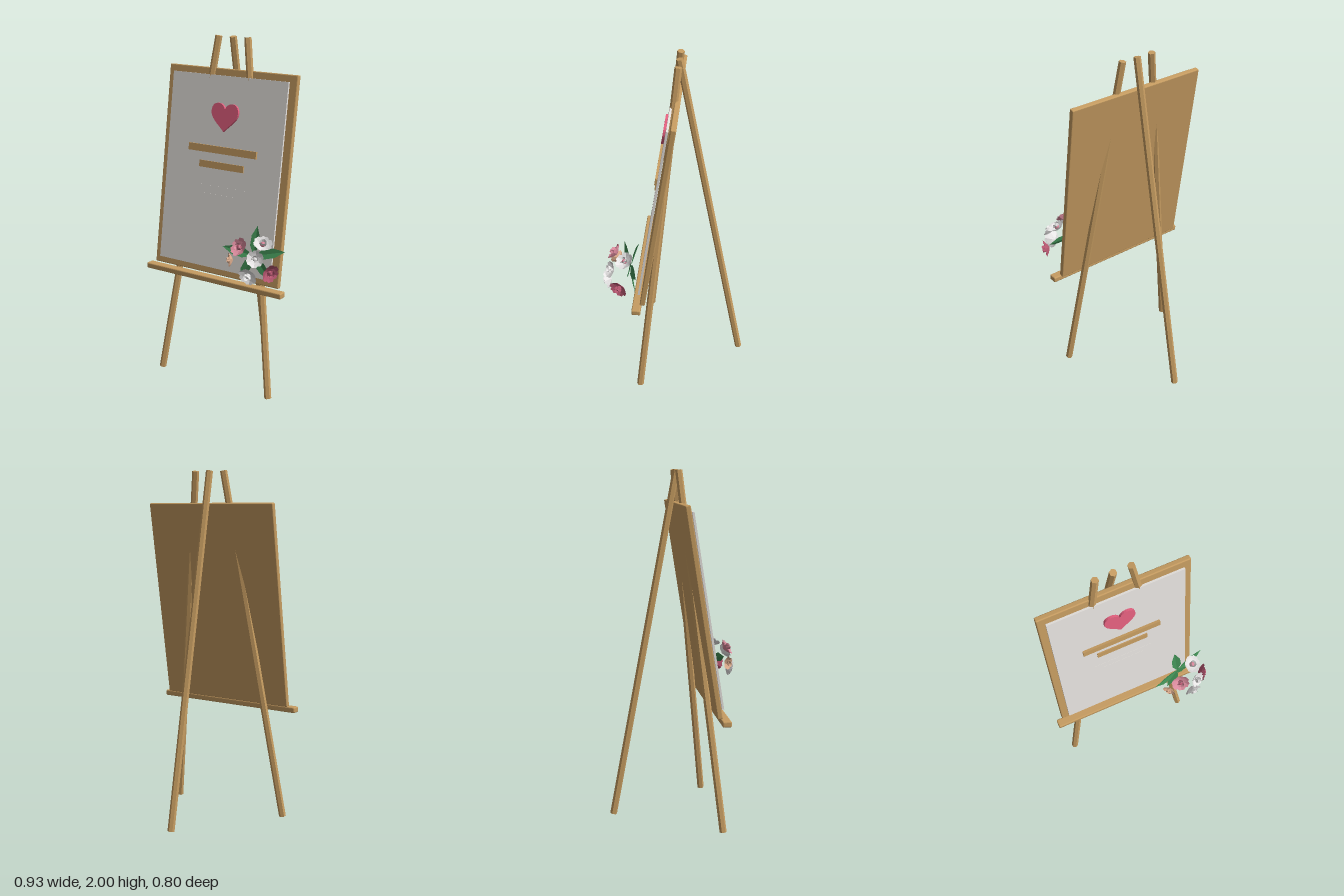
import * as THREE from 'three';
import { RoundedBoxGeometry } from 'three/addons/geometries/RoundedBoxGeometry.js';

const makeMaterial = (name, color, extra = {}) => {
  const m = new THREE.MeshStandardMaterial({ color, ...extra });
  m.name = name;
  return m;
};

// A pointed or rounded blade along +y, folded along its middle and curled towards +z
function bladeGeometry(length, width, profile, fold, curl) {
  const rows = profile.length - 1;
  const geo = new THREE.PlaneGeometry(1, 1, 2, rows);
  const p = geo.attributes.position;
  for (let i = 0; i < p.count; i++) {
    const t = p.getY(i) + 0.5;
    const half = profile[Math.round(t * rows)] * width / 2;
    const side = Math.sign(Math.round(p.getX(i) * 2));
    p.setXYZ(i, side * half, t * length, Math.abs(side) * half * fold + curl * t * t * length);
  }
  geo.computeVertexNormals();
  return geo;
}

export function createModel() {
  const open = { flatShading: true, side: THREE.DoubleSide };
  const wood = makeMaterial('wood', 0xc69c61, { flatShading: true });
  const smoothWood = wood;
  const paper = makeMaterial('paper', 0xf0ece8);
  const heartPink = makeMaterial('heart pink', 0xe4607f);
  const green = makeMaterial('leaf green', 0x3f8a52, open);
  const pink = makeMaterial('pink petal', 0xd98a9c, open);
  const white = makeMaterial('white petal', 0xf0eeee, open);
  const rose = makeMaterial('rose petal', 0xb5566f, open);
  const peach = makeMaterial('peach petal', 0xd9a98a, open);
  const centrePink = makeMaterial('flower centre', 0xd8879a, { flatShading: true });

  const model = new THREE.Group();
  model.name = 'easelSign';
  const add = (parent, name, geo, mat, x = 0, y = 0, z = 0) => {
    const mesh = new THREE.Mesh(geo, mat);
    mesh.name = name;
    mesh.position.set(x, y, z);
    parent.add(mesh);
    return mesh;
  };
  const up = new THREE.Vector3(0, 1, 0);
  const cx = -0.008;

  // Tripod legs
  const leg = (name, topX, footX, footZ) => {
    const top = new THREE.Vector3(cx + topX, 1.997, -0.011);
    const foot = new THREE.Vector3(cx + footX, 0.004, footZ);
    const dir = top.clone().sub(foot);
    const mesh = add(model, name, new THREE.CylinderGeometry(0.02, 0.02, dir.length(), 6), wood);
    mesh.position.copy(top).add(foot).multiplyScalar(0.5);
    mesh.quaternion.setFromUnitVectors(up, dir.normalize());
  };
  leg('frontLegLeft', 0.095, 0.375, 0.2);
  leg('frontLegRight', -0.095, -0.375, 0.2);
  leg('backLeg', 0, 0, -0.385);

  // Ledge under the board
  add(model, 'ledge', new RoundedBoxGeometry(0.92, 0.033, 0.05, 2, 0.007), smoothWood, -0.005, 0.65, 0.202);

  // Leaning board with its sheet and decorations
  const board = new THREE.Group();
  board.name = 'board';
  board.position.set(cx, 1.245, 0.08);
  board.rotation.x = -0.156;
  model.add(board);
  add(board, 'backing', new RoundedBoxGeometry(0.842, 1.162, 0.03, 2, 0.006), smoothWood);
  add(board, 'sheet', new THREE.BoxGeometry(0.757, 1.083, 0.012), paper, 0, 0, 0.029);
  add(board, 'wideBar', new THREE.BoxGeometry(0.45, 0.04, 0.014), wood, 0, 0.13, 0.041);
  add(board, 'narrowBar', new THREE.BoxGeometry(0.295, 0.038, 0.008), wood, 0, 0.042, 0.038);
  add(board, 'upperLine', new THREE.BoxGeometry(0.35, 0.01, 0.004), paper, 0, -0.08, 0.034);
  add(board, 'lowerLine', new THREE.BoxGeometry(0.25, 0.01, 0.004), paper, 0, -0.125, 0.034);

  const heart = new THREE.Shape();
  heart.moveTo(0, -0.08);
  heart.bezierCurveTo(-0.03, -0.045, -0.088, -0.015, -0.088, 0.03);
  heart.bezierCurveTo(-0.088, 0.088, -0.018, 0.092, 0, 0.045);
  heart.bezierCurveTo(0.018, 0.092, 0.088, 0.088, 0.088, 0.03);
  heart.bezierCurveTo(0.088, -0.015, 0.03, -0.045, 0, -0.08);
  add(board, 'heart', new THREE.ExtrudeGeometry(heart, { depth: 0.016, bevelEnabled: false, curveSegments: 10 }),
    heartPink, 0, 0.314, 0.033);

  // Bouquet
  const bouquet = new THREE.Group();
  bouquet.name = 'bouquet';
  model.add(bouquet);
  const heartOfBouquet = new THREE.Vector3(0.29, 0.86, 0.24);

  const outerPetal = bladeGeometry(0.056, 0.056, [0.25, 0.8, 1, 0.5], 0.3, 0.3);
  const innerPetal = bladeGeometry(0.036, 0.04, [0.3, 0.9, 1, 0.55], 0.35, 0.4);
  const flower = (x, y, z, facing, petalMat, centreMat, size = 1) => {
    const g = new THREE.Group();
    g.name = 'flower';
    g.position.set(x, y, z);
    g.quaternion.setFromUnitVectors(new THREE.Vector3(0, 0, 1), new THREE.Vector3(...facing).normalize());
    g.scale.setScalar(size);
    for (const [geo, count, tilt, lift] of [[outerPetal, 6, 0.2, -0.008], [innerPetal, 5, 0.75, 0]]) {
      for (let i = 0; i < count; i++) {
        const spoke = new THREE.Group();
        spoke.name = 'petalSpoke';
        spoke.rotation.z = (i + (count === 5 ? 0.5 : 0)) * Math.PI * 2 / count;
        add(spoke, 'petal', geo, petalMat, 0, 0, lift).rotation.x = tilt;
        g.add(spoke);
      }
    }
    add(g, 'flowerCentre', new THREE.IcosahedronGeometry(0.015, 1), centreMat, 0, 0, 0.014);
    bouquet.add(g);
  };
  flower(0.262, 0.922, 0.325, [-0.2, 0.55, 0.8], pink, rose);
  flower(0.36, 0.935, 0.262, [0.35, 0.85, 0.35], white, centrePink);
  flower(0.205, 0.845, 0.325, [-0.75, 0, 0.65], peach, peach, 0.75);
  flower(0.335, 0.795, 0.355, [0.1, -0.3, 0.95], white, white);
  flower(0.415, 0.805, 0.29, [0.9, -0.15, 0.4], rose, rose);
  flower(0.36, 0.88, 0.335, [0.4, 0.4, 0.8], white, white, 0.9);

  // Leaves spreading from the bouquet's middle
  const tips = [[0.125, 0.9, 0.295], [0.285, 1.015, 0.192], [0.46, 0.9, 0.195],
    [0.22, 0.722, 0.27], [0.375, 0.73, 0.21]];
  for (const tip of tips) {
    const y = new THREE.Vector3(...tip).sub(heartOfBouquet);
    const length = y.length();
    y.normalize();
    const x = new THREE.Vector3().crossVectors(y, new THREE.Vector3(0, 0.3, 1)).normalize();
    const z = new THREE.Vector3().crossVectors(x, y);
    const leaf = add(bouquet, 'leaf', bladeGeometry(length, 0.068, [0.04, 0.8, 0.75, 0.02], 0.25, 0), green);
    leaf.position.copy(heartOfBouquet);
    leaf.quaternion.setFromRotationMatrix(new THREE.Matrix4().makeBasis(x, y, z));
  }
  return model;
}
